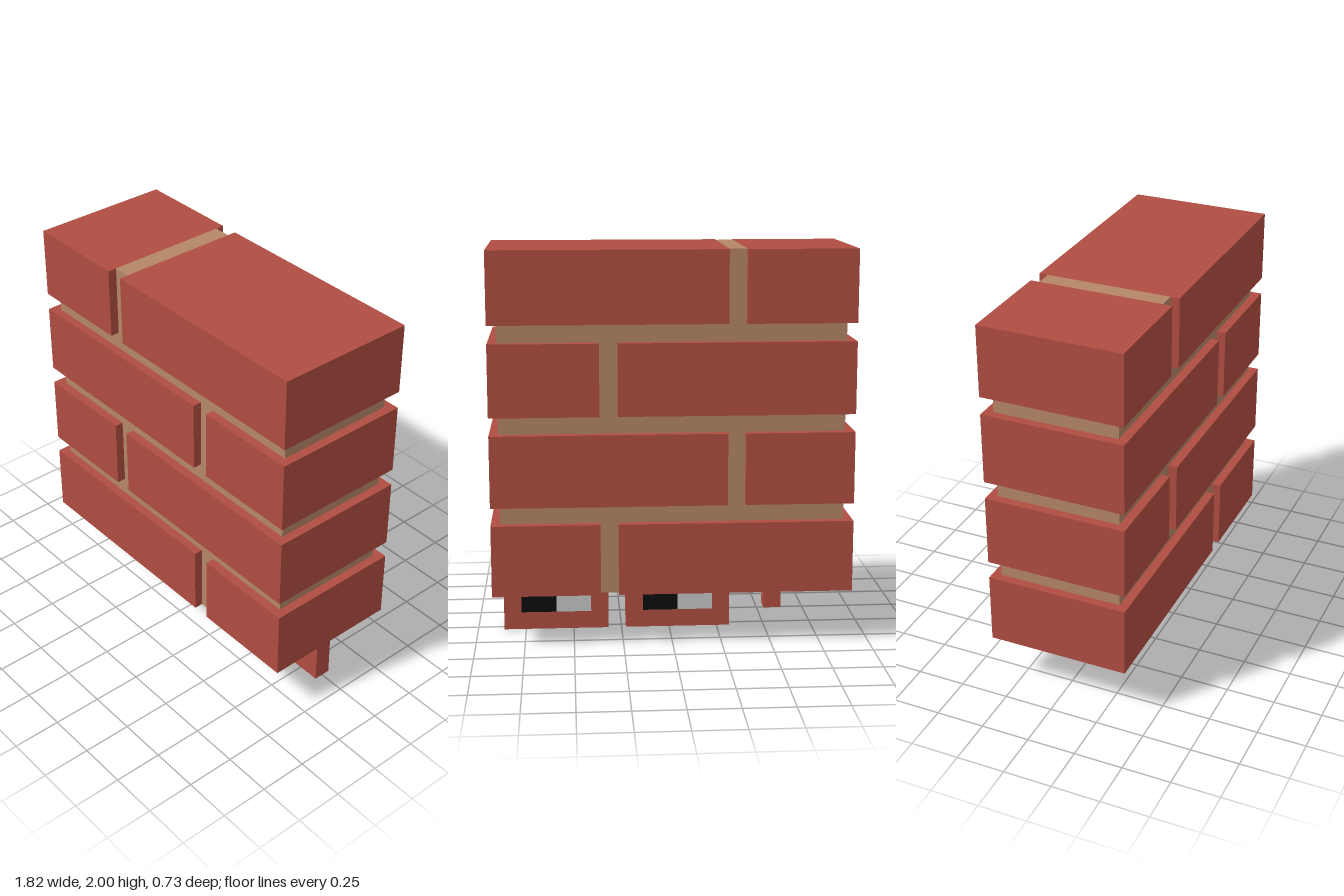
import * as THREE from 'three';

const U = 2 / 22; // one modelling unit: the wall stands 22 units high

function material(name, color) {
  const m = new THREE.MeshStandardMaterial({ color });
  m.name = name;
  return m;
}

export function createModel() {
  const brick = material('brickRed', 0xb04d41);
  const mortar = material('mortarTan', 0xb48667);
  const white = material('lensGrey', 0xc9c9c9);
  const black = material('lensBlack', 0x0d0d0d);

  const model = new THREE.Group();
  model.name = 'brickWall';

  // Box spanning x0..x1 and y0..y1 in units, centred on z
  function block(name, mat, x0, x1, y0, y1, depth, parent = model) {
    const geometry = new THREE.BoxGeometry((x1 - x0) * U, (y1 - y0) * U, depth * U);
    const mesh = new THREE.Mesh(geometry, mat);
    mesh.name = name;
    mesh.position.set(((x0 + x1) / 2) * U, ((y0 + y1) / 2) * U, 0);
    parent.add(mesh);
    return mesh;
  }

  // Four courses of two bricks, with the upright joint alternating sides
  for (let i = 0; i < 4; i++) {
    const y = 3 + i * 5;
    const joint = i % 2 === 0 ? 3 : -4;
    block('brickRightSide', brick, -10, joint, y, y + 4, 8);
    block('brickLeftSide', brick, joint + 1, 10, y, y + 4, 8);
    block('uprightJoint', mortar, joint, joint + 1, y, y + 4, 7);
    if (i < 3) block('mortarBed', mortar, -9.5, 9.5, y + 4, y + 5, 7);
  }

  // Two rectangular frames, each holding a two-tone lens flush with its faces
  for (const x of [-3.5, 3.5]) {
    const eyepiece = new THREE.Group();
    eyepiece.name = 'eyepiece';
    model.add(eyepiece);
    block('frameBottom', brick, x, x + 6, 0, 1, 1, eyepiece);
    block('frameSide', brick, x, x + 1, 1, 3, 1, eyepiece);
    block('frameSide', brick, x + 5, x + 6, 1, 3, 1, eyepiece);
    block('lensLight', white, x + 1, x + 3, 1, 3, 1, eyepiece);
    block('lensDark', black, x + 3, x + 5, 1, 3, 1, eyepiece);
  }

  // Short peg with a pale outer face
  block('peg', [brick, white, brick, brick, brick, brick], -6.5, -5.5, 1, 3, 1);

  return model;
}
